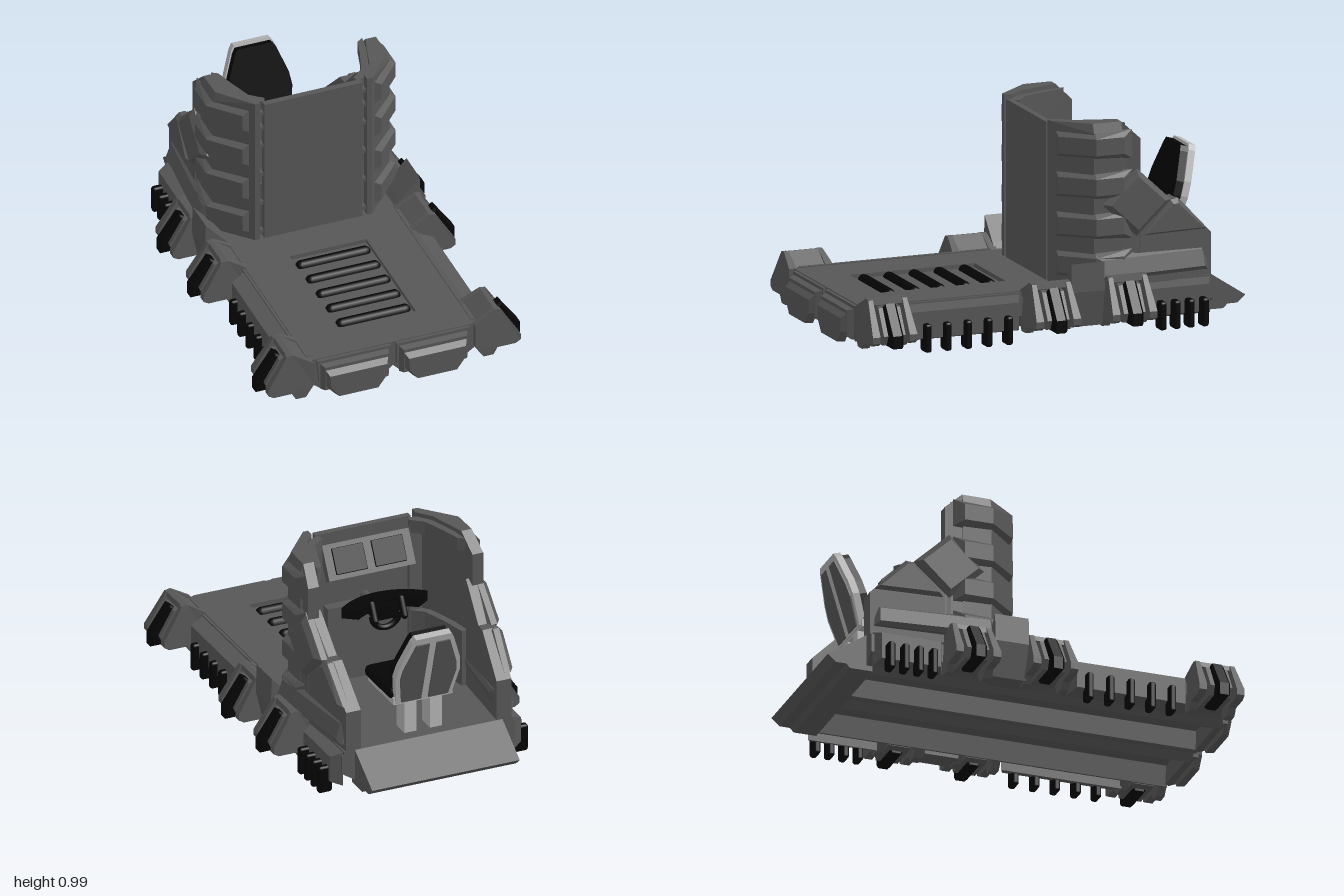
import * as THREE from 'three';
import { RoundedBoxGeometry } from 'three/addons/geometries/RoundedBoxGeometry.js';

export function createModel() {
  const root = new THREE.Group();
  root.name = 'cargoSled';
  const mat = (name, color) => {
    const m = new THREE.MeshStandardMaterial({ color });
    m.name = name;
    return m;
  };
  const grey = mat('darkGrey', 0x575757);
  const black = mat('black', 0x050505);
  const silver = mat('silver', 0xb4b4b4);

  const add = (name, geo, m = grey) => {
    const mesh = new THREE.Mesh(geo, m);
    mesh.name = name;
    root.add(mesh);
    return mesh;
  };
  // Reflect a geometry across x = 0, keeping faces outward
  const mirror = (geo) => {
    const src = geo.index ? geo.toNonIndexed() : geo.clone();
    const out = new THREE.BufferGeometry();
    for (const key of ['position', 'normal']) {
      const a = src.attributes[key], b = new Float32Array(a.count * 3);
      for (let i = 0; i < a.count; i++) {
        const j = i % 3 === 0 ? i : i % 3 === 1 ? i + 1 : i - 1;
        b.set([-a.getX(j), a.getY(j), a.getZ(j)], i * 3);
      }
      out.setAttribute(key, new THREE.BufferAttribute(b, 3));
    }
    return out;
  };
  const pair = (name, geo, m = grey) => {
    add(name + 'Left', geo, m);
    add(name + 'Right', mirror(geo), m);
  };
  const box = (x0, x1, y0, y1, z0, z1) =>
    new THREE.BoxGeometry(x1 - x0, y1 - y0, z1 - z0).translate((x0 + x1) / 2, (y0 + y1) / 2, (z0 + z1) / 2);
  const shape = (pts) => new THREE.Shape(pts.map(([x, y]) => new THREE.Vector2(x, y)));
  // Move every vertex by a rule(v), then refresh flat normals
  const bend = (geo, rule) => {
    const g = geo.index ? geo.toNonIndexed() : geo;
    const p = g.attributes.position, v = new THREE.Vector3();
    for (let i = 0; i < p.count; i++) {
      rule(v.fromBufferAttribute(p, i));
      p.setXYZ(i, v.x, v.y, v.z);
    }
    g.computeVertexNormals();
    return g;
  };
  // Outline in x,y run along z from z0 to z1
  const prism = (pts, z0, z1) =>
    new THREE.ExtrudeGeometry(shape(pts), { depth: z1 - z0, bevelEnabled: false }).translate(0, 0, z0);
  // Outline in x,z raised from y0 to y1
  const planPrism = (pts, y0, y1) =>
    prism(pts.map(([x, z]) => [x, -z]), y0, y1).rotateX(-Math.PI / 2);
  const symmetric = (half) => [...half, ...half.slice().reverse().filter(([x]) => x !== 0).map(([x, y]) => [-x, y])];
  // Outline in z,y with its outer face following x = outer(z, y)
  const sidePlate = (pts, thick, outer, bevel = 0) => bend(
    new THREE.ExtrudeGeometry(shape(pts), {
      depth: thick, bevelEnabled: bevel > 0, bevelSize: bevel, bevelOffset: -bevel, bevelThickness: bevel, bevelSegments: 1,
    }).rotateY(-Math.PI / 2).translate(-bevel, 0, 0),
    (v) => { v.x += outer(v.z, v.y); });
  const ramp = (za, xa, zb, xb) => (z) => xa + ((z - za) / (zb - za)) * (xb - xa);
  // Block that tapers towards +z, its back on z = 0
  const frustum = (w, h, d, sx, sy) => bend(new THREE.BoxGeometry(w, h, d), (v) => {
    if (v.z > 0) { v.x *= sx; v.y *= sy; }
    v.z += d / 2;
  });

  // Hull with two wide channels underneath
  add('hull', prism(symmetric([
    [0, 0.2], [0.44, 0.2], [0.44, 0.11], [0.42, 0.095], [0.38, 0.07], [0.345, 0.04], [0.335, 0.04],
    [0.32, 0.14], [0.08, 0.14], [0.07, 0.05], [0.05, 0.04], [0.03, 0.06], [0, 0.09],
  ]), -0.81, 0.93));

  // Deck plate with a grille opening
  const deck = shape([[-0.43, -0.93], [0.43, -0.93], [0.43, 0.81], [-0.43, 0.81]]);
  deck.holes.push(new THREE.Path([[-0.19, -0.12], [0.19, -0.12], [0.19, -0.74], [-0.19, -0.74]].map(([x, y]) => new THREE.Vector2(x, y))));
  add('deck', new THREE.ExtrudeGeometry(deck, { depth: 0.02, bevelEnabled: false }).rotateX(-Math.PI / 2).translate(0, 0.2, 0));
  for (let i = 0; i < 5; i++) {
    add('grilleBar', new THREE.CapsuleGeometry(0.028, 0.315, 4, 10).rotateZ(Math.PI / 2).translate(0, 0.198, 0.182 + i * 0.125), black);
  }
  pair('deckStrip', box(0.4, 0.418, 0.215, 0.225, -0.05, 0.9));

  // Rear ramp
  add('rearRamp', sidePlate([[-0.78, 0.22], [-0.81, 0.22], [-1, 0.095], [-0.96, 0.06], [-0.91, 0.06], [-0.89, 0.04], [-0.78, 0.04]], 0.75, () => 0.375));

  // Front bumpers: frame, rim and tapered nose
  pair('bumperFrame', prism([[0.015, 0.215], [0.38, 0.215], [0.37, 0.1], [0.34, 0.05], [0.06, 0.05], [0.015, 0.1]], 0.92, 0.945));
  pair('bumperRim', frustum(0.34, 0.14, 0.03, 0.92, 0.9).translate(0.195, 0.13, 0.945));
  const nose = [[0.035, 0.185], [0.355, 0.185], [0.35, 0.09], [0.305, 0.035], [0.085, 0.035], [0.04, 0.09]];
  pair('bumperNose', bend(prism(nose, 0.965, 1), (v) => {
    if (v.z > 0.99) {
      v.x = 0.195 + (v.x - 0.195) * 0.88;
      v.y = Math.min(v.y, 0.155);
    }
  }));

  // Side fenders and their black skid teeth
  const fender = (z0, z1, x, taper) => frustum(z1 - z0, 0.17, x - 0.43, taper, 0.75).rotateY(Math.PI / 2).translate(0.43, 0.127, (z0 + z1) / 2);
  pair('frontFender', fender(0.15, 0.74, 0.5, 0.9));
  pair('rearFender', fender(-0.8, -0.46, 0.485, 0.85));
  for (const z of [0.235, 0.337, 0.438, 0.54, 0.64, -0.53, -0.6, -0.67, -0.74]) {
    pair('skidTooth', new RoundedBoxGeometry(0.07, 0.135, 0.034, 2, 0.012).translate(0.498, 0.0675, z), black);
  }

  // Outrigger feet: two bracket plates, a bridge across them and a black foot
  const bracket = [[0.4, 0.22], [0.5, 0.28], [0.53, 0.275], [0.625, 0.12], [0.625, 0.09], [0.6, 0.075], [0.51, 0.075], [0.49, 0.04], [0.44, 0.04], [0.4, 0.1]];
  const bridge = [[0.42, 0.12], [0.42, 0.22], [0.5, 0.28], [0.525, 0.275], [0.53, 0.25], [0.47, 0.21], [0.45, 0.12]];
  const mount = [[0.42, 0.2], [0.5, 0.25], [0.55, 0.24], [0.62, 0.12], [0.6, 0.075], [0.42, 0.075]];
  const foot = [[0.53, 0.24], [0.56, 0.26], [0.655, 0.125], [0.655, 0.065], [0.47, 0.065], [0.47, 0.1], [0.56, 0.1]];
  for (const z of [0.845, 0.03, -0.35]) {
    for (const s of [-1, 1]) {
      const c = z + s * 0.092;
      pair('footBracket', bend(prism(bracket, c - 0.019, c + 0.019), (v) => {
        // Outer side of each bracket leans in towards its top
        if (v.y > 0.25 && (v.z - c) * s > 0) v.z -= s * 0.015;
      }));
    }
    pair('footBridge', prism(bridge, z - 0.08, z + 0.08));
    pair('footMount', prism(mount, z - 0.054, z + 0.054));
    pair('foot', bend(new THREE.ExtrudeGeometry(shape(foot), { depth: 0.044, bevelSize: 0.008, bevelOffset: -0.008, bevelThickness: 0.01, bevelSegments: 1 }),
      (v) => { v.z += z - 0.022; }), black);
  }

  // Cockpit front wall, with a narrow slot on each side crossed by rungs
  add('frontWall', box(-0.243, 0.243, 0.21, 0.97, -0.09, -0.06));
  pair('slotBacking', box(0.22, 0.3, 0.21, 0.925, -0.125, -0.105));
  for (const y of [0.24, 0.4, 0.56, 0.72, 0.82, 0.9]) {
    pair('slotRung', box(0.235, 0.28, y, y + 0.02, -0.106, -0.075));
  }

  // Cockpit side walls, turning a corner at the front
  pair('cornerWall', bend(planPrism([[0.265, -0.06], [0.29, -0.06], [0.44, -0.22], [0.443, -0.36], [0.375, -0.36], [0.32, -0.17], [0.265, -0.1]], 0.21, 0.94), () => {}));
  pair('wallCap', bend(planPrism([[0.265, -0.06], [0.29, -0.06], [0.44, -0.22], [0.443, -0.36], [0.375, -0.36], [0.32, -0.17], [0.265, -0.1]], 0.94, 0.985),
    (v) => { if (v.y > 0.96 && v.x > 0.42) v.x -= 0.015; }));
  pair('wallEnd', bend(planPrism([[0.443, -0.36], [0.445, -0.45], [0.39, -0.45], [0.375, -0.36]], 0.21, 0.985),
    (v) => {
      if (v.y > 0.9 && v.z < -0.4) v.y = 0.9;
      else if (v.y > 0.9 && v.x > 0.42) v.x -= 0.015;
    }));
  pair('innerRim', planPrism([[0.23, -0.09], [0.3, -0.12], [0.36, -0.3], [0.375, -0.4], [0.345, -0.38], [0.32, -0.29], [0.28, -0.17], [0.22, -0.12]], 0.9, 0.965));
  pair('innerBelt', planPrism([[0.23, -0.09], [0.3, -0.12], [0.36, -0.3], [0.38, -0.42], [0.35, -0.42], [0.32, -0.29], [0.28, -0.17], [0.22, -0.12]], 0.21, 0.5));
  pair('rearWall', sidePlate([[-0.42, 0.21], [-0.42, 0.765], [-0.45, 0.74], [-0.58, 0.6], [-0.63, 0.6], [-0.81, 0.42], [-0.81, 0.21]], 0.075, ramp(-0.42, 0.445, -0.81, 0.42)));

  // Armour ribs wrapping the corner, tapered towards their outer edge
  const rib = bend(planPrism([[0.295, -0.085], [0.345, -0.08], [0.47, -0.22], [0.47, -0.36], [0.44, -0.41], [0.425, -0.23]], -0.068, 0.068),
    (v) => { if (v.x > 0.46 || (v.x > 0.34 && v.z > -0.1)) v.y *= 0.58; });
  for (const y of [0.88, 0.69, 0.5, 0.315]) pair('armourRib', rib.clone().translate(0, y, 0));

  // Plates on the outside
  pair('diamondPlate', sidePlate([[-0.26, 0.6], [-0.43, 0.76], [-0.6, 0.6], [-0.43, 0.44]], 0.03, () => 0.472, 0.025));
  pair('trianglePlate', sidePlate([[-0.46, 0.44], [-0.6, 0.595], [-0.64, 0.6], [-0.79, 0.44]], 0.03, ramp(-0.46, 0.47, -0.79, 0.445), 0.02));
  const lowerX = ramp(-0.22, 0.51, -0.79, 0.455);
  pair('lowerPlate', sidePlate([[-0.22, 0.365], [-0.78, 0.365], [-0.79, 0.25], [-0.22, 0.25]], 0.06, (z, y) => lowerX(z) - (y - 0.25) * 0.3, 0.02));
  pair('sidePillar', prism([[0.4, 0.21], [0.43, 0.245], [0.53, 0.355], [0.535, 0.22], [0.5, 0.05], [0.4, 0.05]], -0.235, -0.07));

  // Dashboard with two screens
  add('dashboard', new THREE.BoxGeometry(0.44, 0.17, 0.04).rotateX(0.5).translate(0, 0.84, -0.14));
  for (const x of [-0.1, 0.1]) {
    add('screen', new RoundedBoxGeometry(0.16, 0.125, 0.009, 2, 0.004).translate(x, 0, -0.022).rotateX(0.5).translate(0, 0.84, -0.14), black);
  }
  add('console', box(-0.2, 0.2, 0.21, 0.6, -0.14, -0.085));

  // Control yoke
  const yoke = new THREE.Shape();
  yoke.absarc(0, 0.56, 0.32, Math.PI * 1.26, Math.PI * 1.74, false);
  yoke.absarc(0, 0.56, 0.24, Math.PI * 1.72, Math.PI * 1.28, true);
  add('yoke', new THREE.ExtrudeGeometry(yoke, { depth: 0.05, bevelEnabled: false, curveSegments: 12 }).rotateX(-Math.PI / 2).translate(0, 0.645, 0), black);
  add('yokeColumn', new THREE.CylinderGeometry(0.025, 0.03, 0.22, 10).rotateX(Math.PI / 2).translate(0, 0.62, -0.22));
  add('yokeHub', box(-0.06, 0.06, 0.61, 0.68, -0.36, -0.22), black);
  add('steeringRing', new THREE.TorusGeometry(0.07, 0.015, 8, 20, Math.PI).rotateZ(Math.PI).translate(0, 0.63, -0.34), black);
  for (const x of [-0.075, 0.075]) {
    add('yokeGrip', new THREE.CapsuleGeometry(0.018, 0.08, 4, 8).rotateX(0.5).translate(x, 0.66, -0.365), black);
  }

  // Seat: pan, cushions, tilted backrest and two legs
  add('seatPan', box(-0.15, 0.15, 0.375, 0.41, -0.75, -0.47), silver);
  add('seatCushion', new RoundedBoxGeometry(0.33, 0.06, 0.29, 2, 0.025).translate(0, 0.425, -0.595), black);
  const tilt = (g) => g.rotateX(-0.29).translate(0, 0.44, -0.738);
  const back = [[-0.14, -0.05], [0.14, -0.05], [0.165, 0.1], [0.155, 0.17], [0.105, 0.31], [0.09, 0.335], [-0.09, 0.335], [-0.105, 0.31], [-0.155, 0.17], [-0.165, 0.1]];
  const inset = back.map(([x, y]) => [x * 0.97, y * 0.96]);
  add('seatBack', tilt(prism(back, -0.035, 0)), silver);
  add('backCushion', tilt(prism(inset, 0, 0.038)), black);
  pair('backPanel', tilt(prism([[0.018, -0.04], [0.118, -0.04], [0.142, 0.1], [0.134, 0.16], [0.085, 0.3], [0.018, 0.3]], -0.042, -0.034)));
  pair('seatLeg', box(0.035, 0.095, 0.21, 0.4, -0.75, -0.66), silver);

  return root;
}
